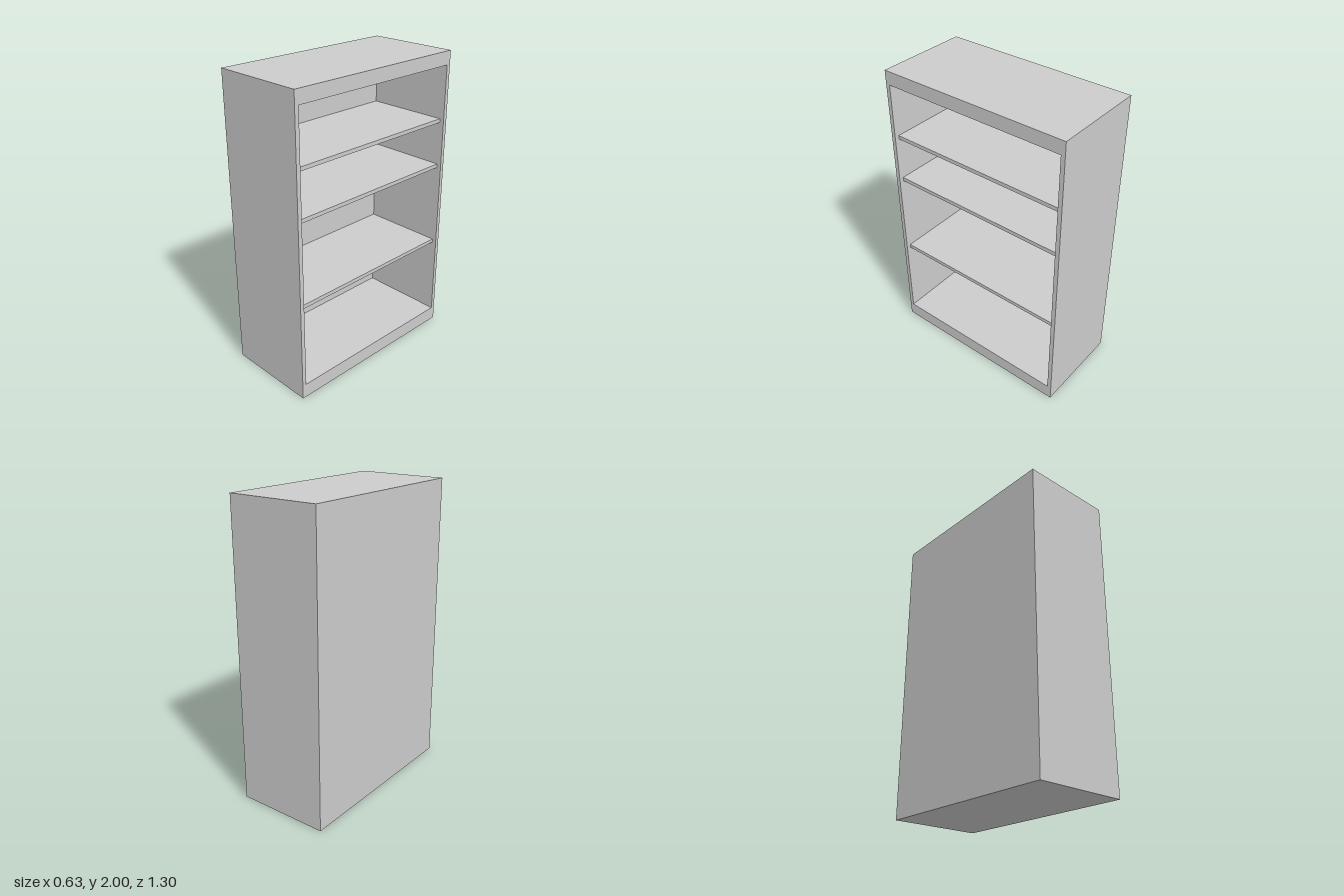
import * as THREE from 'three';

const DEPTH = 0.632, HEIGHT = 2, WIDTH = 1.3;  // along x, y, z; the open side faces +x
const BACK = 0.03;                             // back panel thickness
const OPEN = { half: 0.622, bottom: 0.096, top: 1.91 };
const SHELF = { thickness: 0.026, recess: 0.03, tops: [0.66, 1.232, 1.55] };

export function createModel() {
  const group = new THREE.Group();
  group.name = 'bookcase';
  const material = new THREE.MeshStandardMaterial({ color: 0xcccccc });

  const add = (name, geometry, x = 0, y = 0, z = 0) => {
    const mesh = new THREE.Mesh(geometry, material);
    mesh.name = name;
    mesh.position.set(x, y, z);
    group.add(mesh);
    return mesh;
  };

  const trace = (path, half, bottom, top) => path
    .moveTo(-half, bottom).lineTo(half, bottom)
    .lineTo(half, top).lineTo(-half, top).closePath();

  // Carcass: sides, thick top and plinth as one frame around the opening
  const outline = trace(new THREE.Shape(), WIDTH / 2, 0, HEIGHT);
  outline.holes.push(trace(new THREE.Path(), OPEN.half, OPEN.bottom, OPEN.top));
  const frame = new THREE.ExtrudeGeometry(outline, { depth: DEPTH - BACK, bevelEnabled: false });
  frame.rotateY(Math.PI / 2);
  add('frame', frame, -DEPTH / 2 + BACK);

  // Back panel
  add('backPanel', new THREE.BoxGeometry(BACK, HEIGHT, WIDTH), (BACK - DEPTH) / 2, HEIGHT / 2);

  // Shelves, from the back panel to just behind the opening
  const shelfDepth = DEPTH - BACK - SHELF.recess;
  const shelf = new THREE.BoxGeometry(shelfDepth, SHELF.thickness, OPEN.half * 2);
  SHELF.tops.forEach((top, i) =>
    add(`shelf${i + 1}`, shelf, (BACK - SHELF.recess) / 2, top - SHELF.thickness / 2));

  return group;
}
